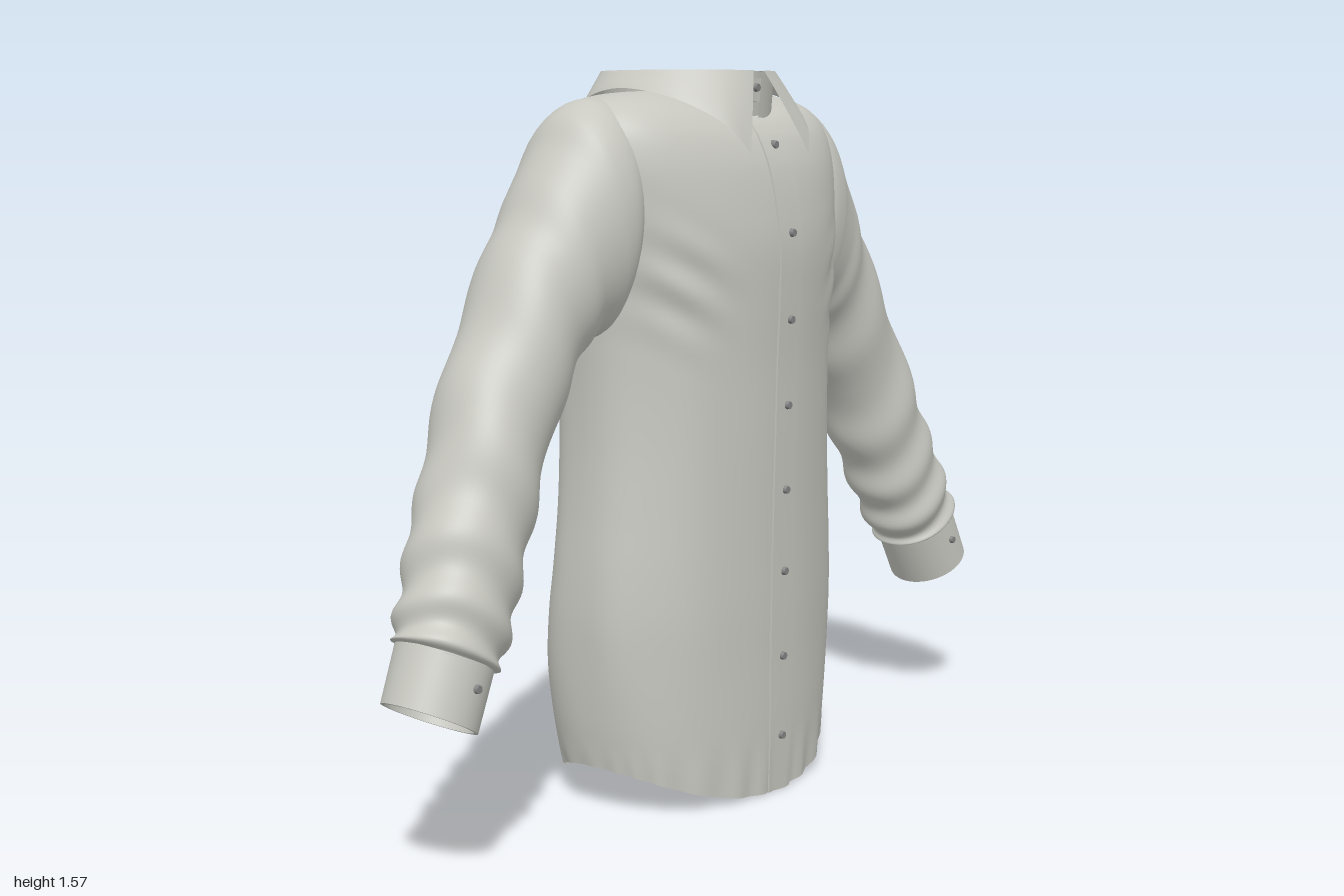
import * as THREE from 'three';
import { toCreasedNormals } from 'three/addons/utils/BufferGeometryUtils.js';

const fabric = new THREE.MeshStandardMaterial({ color: 0xc8c8c1, side: THREE.DoubleSide });
fabric.name = 'fabric';
const buttonGrey = new THREE.MeshStandardMaterial({ color: 0x858585 });
buttonGrey.name = 'buttonGrey';

const { lerp, smoothstep } = THREE.MathUtils;
const TAU = Math.PI * 2;

// Surface from fn(u, v) -> [x, y, z]; wraps in u when closed
function loft(nu, nv, fn, closed) {
  const pos = [], idx = [], w = closed ? nu : nu + 1;
  for (let j = 0; j <= nv; j++)
    for (let i = 0; i < w; i++) pos.push(...fn(i / nu, j / nv));
  for (let j = 0; j < nv; j++)
    for (let i = 0; i < nu; i++) {
      const a = j * w + i, b = j * w + (i + 1) % w;
      idx.push(a, b, a + w, b, b + w, a + w);
    }
  const g = new THREE.BufferGeometry();
  g.setAttribute('position', new THREE.Float32BufferAttribute(pos, 3));
  g.setIndex(idx);
  g.computeVertexNormals();
  return g;
}

// Smooth interpolation through rows of numbers
function sampleRows(rows, t) {
  const f = t * (rows.length - 1), k = Math.min(Math.floor(f), rows.length - 2), s = f - k;
  const at = (i) => rows[Math.max(0, Math.min(rows.length - 1, i))];
  return rows[0].map((_, c) => {
    const p0 = at(k - 1)[c], p1 = at(k)[c], p2 = at(k + 1)[c], p3 = at(k + 2)[c];
    return p1 + 0.5 * s * (p2 - p0 + s * (2 * p0 - 5 * p1 + 4 * p2 - p3 + s * (3 * (p1 - p2) + p3 - p0)));
  });
}

const bend = (c, n) => Math.sign(c) * Math.abs(c) ** (2 / n);

// Torso rings: side y, front y, back y, half width, front z, back z
const torsoRows = [
  [0.10, 0.005, 0.005, 0.355, 0.235, -0.22],
  [0.14, 0.07, 0.07, 0.362, 0.237, -0.237],
  [0.21, 0.18, 0.18, 0.372, 0.239, -0.255],
  [0.31, 0.30, 0.30, 0.381, 0.240, -0.265],
  [0.42, 0.42, 0.42, 0.385, 0.242, -0.25],
  [0.53, 0.53, 0.53, 0.380, 0.243, -0.23],
  [0.66, 0.66, 0.66, 0.368, 0.245, -0.22],
  [0.80, 0.80, 0.80, 0.358, 0.248, -0.222],
  [0.95, 0.95, 0.95, 0.355, 0.251, -0.226],
  [1.08, 1.08, 1.08, 0.360, 0.257, -0.229],
  [1.20, 1.20, 1.20, 0.375, 0.260, -0.23],
  [1.30, 1.29, 1.30, 0.390, 0.250, -0.23],
  [1.39, 1.37, 1.39, 0.400, 0.232, -0.226],
  [1.46, 1.425, 1.45, 0.390, 0.208, -0.219],
  [1.505, 1.455, 1.485, 0.345, 0.186, -0.208],
  [1.525, 1.472, 1.50, 0.265, 0.168, -0.20],
  [1.532, 1.48, 1.505, 0.180, 0.152, -0.194],
];

function torsoPoint(a, v, lift = 0) {
  const [ys, yf, yb, hw, zf, zb] = sampleRows(torsoRows, v);
  const s = Math.sin(a), c = Math.cos(a);
  const y = lerp(c > 0 ? yf : yb, ys, s * s);
  // Soft vertical folds, hem puckers, slanted chest creases and the back yoke step
  const body = smoothstep(y, 0.1, 0.4) * (1 - smoothstep(y, 1.0, 1.3));
  let d = lift + 0.003 * Math.sin(9 * a + 2 * y) * body * Math.abs(s);
  d += 0.004 * Math.sin(26 * a + 2 * Math.sin(5 * a)) * (1 - smoothstep(y, 0.02, 0.16));
  const chest = Math.exp(-(((y - 1.13) / 0.1) ** 2)) * Math.exp(-(((Math.abs(s) - 0.72) / 0.2) ** 2));
  d += 0.006 * chest * Math.sin(55 * (y - 0.25 * Math.abs(s)));
  if (c < 0) d += 0.006 * smoothstep(y, 1.32 + 0.09 * s * s, 1.34 + 0.09 * s * s) * (1 - smoothstep(y, 1.4, 1.5)) * -c;
  return [bend(s, 2.2) * hw + s * d, y, bend(c, 2.2) * (c > 0 ? zf : -zb) + c * d];
}

// Sleeve sections: upper x, y, lower x, y, centre z, half depth
const sleeveRows = [
  [0.31, 1.515, 0.335, 1.08, -0.01, 0.135],
  [0.37, 1.512, 0.345, 1.05, -0.01, 0.15],
  [0.425, 1.48, 0.355, 1.03, -0.01, 0.15],
  [0.465, 1.42, 0.37, 1.022, -0.012, 0.145],
  [0.52, 1.34, 0.40, 1.015, -0.014, 0.138],
  [0.58, 1.24, 0.44, 0.985, -0.015, 0.132],
  [0.66, 1.11, 0.49, 0.915, -0.013, 0.127],
  [0.74, 0.97, 0.55, 0.82, -0.003, 0.122],
  [0.82, 0.81, 0.61, 0.705, 0.012, 0.118],
  [0.88, 0.685, 0.665, 0.585, 0.03, 0.113],
  [0.925, 0.585, 0.71, 0.49, 0.045, 0.108],
  [0.955, 0.52, 0.75, 0.425, 0.054, 0.103],
  [0.952, 0.50, 0.772, 0.408, 0.057, 0.095],
];
const cuffRows = [
  [0.952, 0.505, 0.770, 0.415, 0.057, 0.095],
  [1.0, 0.395, 0.83, 0.303, 0.065, 0.096],
];

function sectionPoint([ux, uy, lx, ly, cz, hd], b, n, scale = 1, d = 0) {
  const c = bend(Math.cos(b), n) * scale, s = bend(Math.sin(b), n) * scale;
  const len = Math.hypot(ux - lx, uy - ly), k = c / 2 + (d * c) / len;
  return [(ux + lx) / 2 + (ux - lx) * k, (uy + ly) / 2 + (uy - ly) * k, cz + s * (hd + d)];
}

function sleevePoint(b, t) {
  // Slanted gathers, strongest on the forearm
  const low = smoothstep(t, 0.5, 0.85) * (1 - smoothstep(t, 0.96, 1));
  const mid = smoothstep(t, 0.3, 0.42) * (1 - smoothstep(t, 0.6, 0.8));
  const d = 0.007 * low * Math.sin(68 * t + 1.6 * Math.sin(b + 0.6) + Math.sin(2 * b))
    + 0.005 * mid * Math.sin(42 * t + 2 * Math.sin(b + 2));
  return sectionPoint(sampleRows(sleeveRows, t), b, 2.05, 1, d);
}

// Lower edge of the collar from the front tip to the centre back
const collarEdge = [
  [0.105, 1.40, 0.232], [0.15, 1.462, 0.197], [0.20, 1.515, 0.105], [0.222, 1.538, -0.02],
  [0.195, 1.52, -0.135], [0.115, 1.488, -0.21], [0, 1.472, -0.234],
];
const collarRows = [...collarEdge, ...collarEdge.slice(0, 6).reverse().map(([x, y, z]) => [-x, y, z])];

function collarPoint(u, v) {
  const a = lerp(0.1, TAU - 0.1, u), e = sampleRows(collarRows, u), k = v ** 1.1;
  return [lerp(e[0], 0.19 * Math.sin(a), k), lerp(e[1], 1.576, v), lerp(e[2], -0.015 + 0.19 * Math.cos(a), k)];
}

// Collar stand: outside, top edge, inside
const standProfile = [[0.179, 1.46], [0.188, 1.575], [0.167, 1.575], [0.167, 1.46]];
function standPoint(u, v) {
  const a = lerp(0.07, TAU - 0.07, u), [r, y] = standProfile[Math.round(v * 3)];
  return [r * Math.sin(a), y, -0.015 + r * Math.cos(a)];
}

export function createModel() {
  const model = new THREE.Group();
  const add = (parent, name, geometry, material = fabric) => {
    const m = new THREE.Mesh(geometry, material);
    m.name = name;
    parent.add(m);
    return m;
  };
  const addButton = (parent, name, x, y, z) => {
    const b = add(parent, name, new THREE.CylinderGeometry(0.008, 0.01, 0.012, 14), buttonGrey);
    b.rotation.x = Math.PI / 2;
    b.position.set(x, y, z);
  };

  add(model, 'torso', loft(144, 110, (u, v) => torsoPoint(u * TAU, v), true));

  // Raised button strip down the front, edges tucked into the torso
  add(model, 'placket', toCreasedNormals(loft(5, 80, (u, v) => {
    const a = [-0.086, -0.085, -0.03, 0.03, 0.085, 0.086][Math.round(u * 5)];
    return torsoPoint(a, v * 0.985, Math.abs(a) > 0.0855 ? -0.002 : 0.004);
  }, false), 0.7));

  for (const y of [0.13, 0.31, 0.5, 0.68, 0.865, 1.05, 1.235, 1.42]) {
    let v = 0;
    while (torsoPoint(0, v)[1] < y) v += 0.002;
    addButton(model, 'frontButton', 0, y, torsoPoint(0, v)[2] + 0.006);
  }

  // Collar
  add(model, 'collarLeaf', loft(96, 8, collarPoint, false));
  add(model, 'collarStand', toCreasedNormals(loft(72, 3, standPoint, false), 0.6));
  add(model, 'collarTab', new THREE.BoxGeometry(0.045, 0.05, 0.008)).position.set(0, 1.535, 0.162);
  addButton(model, 'collarButton', 0, 1.54, 0.168);

  // Sleeves with cuffs, the right one mirrored
  for (const side of [1, -1]) {
    const arm = new THREE.Group();
    arm.name = side > 0 ? 'leftSleeve' : 'rightSleeve';
    arm.scale.x = side;
    add(arm, 'sleeve', loft(56, 130, (u, v) => sleevePoint(u * TAU, v), true));
    add(arm, 'cuff', toCreasedNormals(loft(48, 3, (u, v) => {
      const k = Math.round(v * 3);
      return sectionPoint(cuffRows[k === 1 || k === 2 ? 1 : 0], u * TAU, 2, k > 1 ? 0.93 : 1.01);
    }, true), 0.7));
    addButton(arm, 'cuffButton', 0.88, 0.415, 0.158);
    model.add(arm);
  }
  return model;
}
